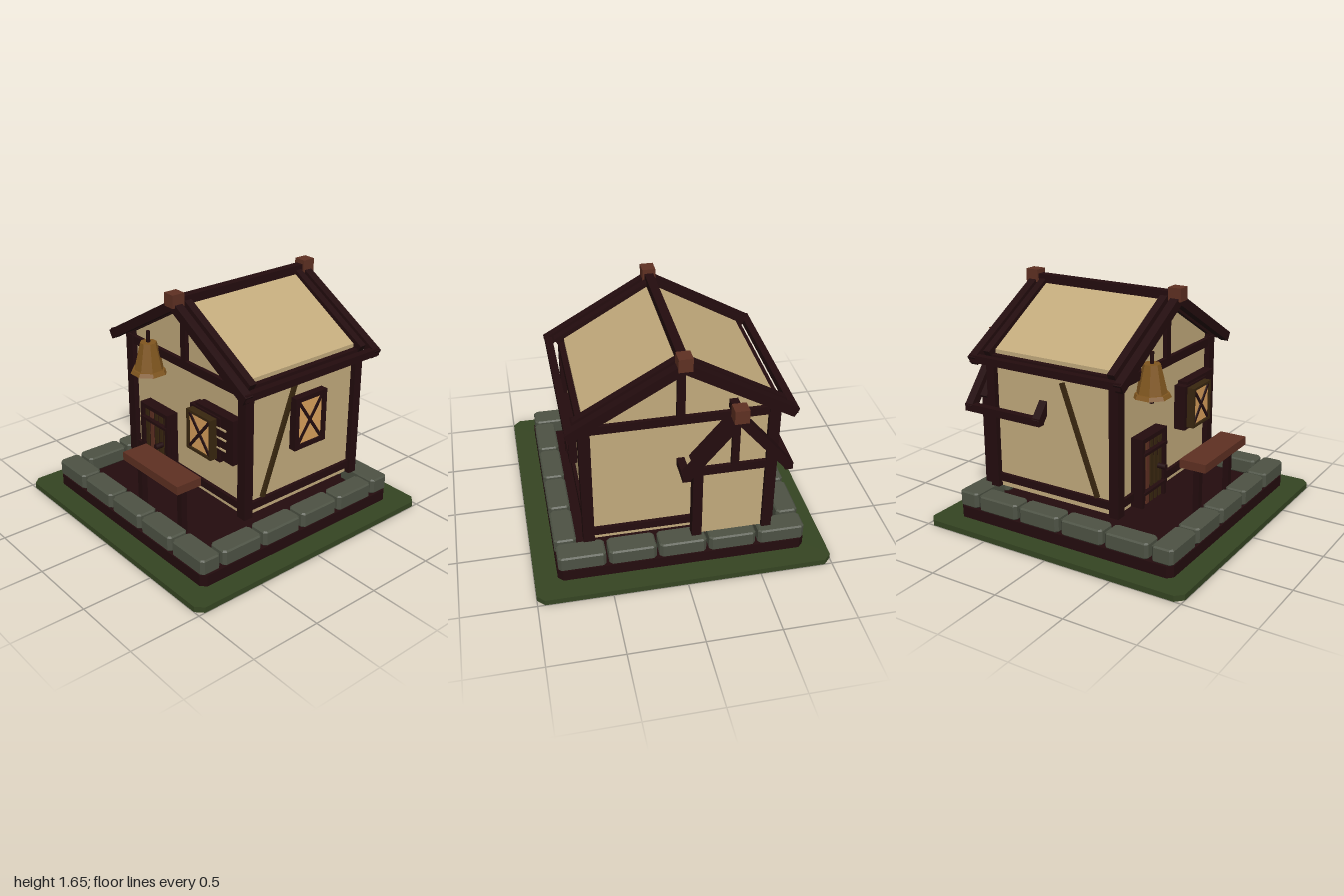
import * as THREE from 'three';

const mat = (name, color, opt = {}) => {
  const m = new THREE.MeshStandardMaterial({ color, ...opt });
  m.name = name;
  return m;
};

export function createModel() {
  const model = new THREE.Group();
  model.name = 'cottage';

  const dark = mat('dark timber', 0x230c0e);
  const red = mat('red wood', 0x5e3022);
  const plaster = mat('plaster', 0xc2aa7c);
  const stone = mat('stone', 0x4d5244);
  const grass = mat('grass', 0x354522);
  const olive = mat('brown plank', 0x38260f);
  const glow = mat('window pane', 0xd9a05c);
  const brass = mat('brass', 0x80561f, { flatShading: true });

  const group = (name, parent = model) => {
    const g = new THREE.Group();
    g.name = name;
    parent.add(g);
    return g;
  };
  const add = (parent, name, geo, m) => {
    const mesh = new THREE.Mesh(geo, m);
    mesh.name = name;
    parent.add(mesh);
    return mesh;
  };
  // Box given by its extents on each axis
  const box = (parent, name, m, x0, x1, y0, y1, z0, z1) => {
    const b = add(parent, name, new THREE.BoxGeometry(x1 - x0, y1 - y0, z1 - z0), m);
    b.position.set((x0 + x1) / 2, (y0 + y1) / 2, (z0 + z1) / 2);
    return b;
  };
  // Sloping beam between two points in the xy plane
  const beam = (parent, name, m, x0, y0, x1, y1, thick, z0, z1) => {
    const b = add(parent, name, new THREE.BoxGeometry(Math.hypot(x1 - x0, y1 - y0), thick, z1 - z0), m);
    b.position.set((x0 + x1) / 2, (y0 + y1) / 2, (z0 + z1) / 2);
    b.rotation.z = Math.atan2(y1 - y0, x1 - x0);
    return b;
  };
  const polygon = (pts) => new THREE.Shape(pts.map(([x, y]) => new THREE.Vector2(x, y)));
  // Rectangle with cut corners
  const cutRect = (w, d, c) => polygon([
    [-w + c, -d], [w - c, -d], [w, -d + c], [w, d - c],
    [w - c, d], [-w + c, d], [-w, d - c], [-w, -d + c],
  ]);
  const slab = (parent, name, m, w, d, c, y0, y1, bevel = 0) => {
    const geo = new THREE.ExtrudeGeometry(cutRect(w - bevel, d - bevel, c), {
      depth: y1 - y0 - 2 * bevel, bevelEnabled: bevel > 0,
      bevelSize: bevel, bevelThickness: bevel, bevelSegments: 1,
    });
    geo.rotateX(-Math.PI / 2);
    const s = add(parent, name, geo, m);
    s.position.y = y0 + bevel;
    return s;
  };

  // Ground and ring of stones
  slab(model, 'grass base', grass, 1, 1, 0.05, 0, 0.04);
  slab(model, 'soil', dark, 0.845, 0.845, 0.035, 0.04, 0.12);
  const ring = group('stone ring');
  for (const s of [-1, 1]) {
    for (let i = 0; i < 5; i++) {
      const st = slab(ring, 'stone', stone, 0.16, 0.077, 0.015, 0.12, 0.23, 0.01);
      st.position.x = (i - 2) * 0.339;
      st.position.z = s * 0.768;
    }
    for (let i = 0; i < 4; i++) {
      const st = slab(ring, 'stone', stone, 0.075, 0.16, 0.015, 0.12, 0.23, 0.01);
      st.position.x = s * 0.77;
      st.position.z = (i - 1.5) * 0.341;
    }
  }

  // Gabled plaster volume
  const gableBody = (parent, cx, half, eave, apex, z0, z1) => {
    const geo = new THREE.ExtrudeGeometry(polygon([
      [cx - half, 0.23], [cx + half, 0.23], [cx + half, eave], [cx, apex], [cx - half, eave],
    ]), { depth: z1 - z0, bevelEnabled: false });
    geo.translate(0, 0, z0);
    add(parent, 'plaster walls and roof', geo, plaster);
  };
  const rafterPair = (parent, cx, apex, run, slope, thick, z0, z1) => {
    for (const s of [-1, 1])
      beam(parent, 'rafter', dark, cx, apex, cx + s * run, apex - slope * run, thick, z0, z1);
  };

  // Main house
  const house = group('main house');
  gableBody(house, 0, 0.61, 1.218, 1.575, -0.68, 0.3);
  for (const [z0, z1] of [[0.36, 0.42], [-0.79, -0.73]]) rafterPair(house, 0, 1.567, 0.725, 0.577, 0.066, z0, z1);
  for (const [z0, z1] of [[0.275, 0.33], [-0.705, -0.655]]) {
    rafterPair(house, 0, 1.565, 0.66, 0.577, 0.07, z0, z1);
    box(house, 'tie beam', dark, -0.65, 0.65, 1.1, 1.16, z0, z1);
    box(house, 'king post', dark, -0.027, 0.027, 1.16, 1.52, z0, z1);
    box(house, 'sill', dark, -0.6, 0.6, 0.275, 0.33, z0, z1 - 0.005);
  }
  box(house, 'ridge beam', dark, -0.03, 0.03, 1.56, 1.62, -0.78, 0.42);
  for (const z of [0.39, -0.765]) box(house, 'ridge block', red, -0.045, 0.045, 1.56, 1.65, z - 0.048, z + 0.048);
  for (const s of [-1, 1]) {
    const side = (name, x0, x1, y0, y1, z0, z1) =>
      box(house, name, dark, Math.min(s * x0, s * x1), Math.max(s * x0, s * x1), y0, y1, z0, z1);
    side('corner post', 0.575, 0.65, 0.23, 1.17, 0.27, 0.34);
    side('corner post', 0.575, 0.65, 0.23, 1.17, -0.71, -0.645);
    side('wall plate', 0.58, 0.65, 1.13, 1.19, -0.7, 0.33);
    side('eave beam', 0.685, 0.735, 1.14, 1.19, -0.78, 0.41);
    side('side sill', 0.59, 0.635, 0.275, 0.33, -0.66, 0.3);
    // Leaning side brace
    const brace = add(house, 'side brace', new THREE.BoxGeometry(0.03, 0.79, 0.032), olive);
    brace.position.set(s * 0.615, 0.705, 0.025);
    brace.rotation.x = -Math.atan2(0.27, 0.75);
  }

  // Rear annex
  const annex = group('rear annex');
  const cx = -0.34;
  gableBody(annex, cx, 0.26, 0.865, 1.175, -0.765, -0.3);
  rafterPair(annex, cx, 1.2, 0.34, 1.2, 0.062, -0.87, -0.81);
  rafterPair(annex, cx, 1.18, 0.27, 1.2, 0.06, -0.79, -0.735);
  rafterPair(annex, cx, 1.2, 0.34, 1.2, 0.062, -0.3, -0.24);
  box(annex, 'ridge beam', dark, cx - 0.028, cx + 0.028, 1.18, 1.24, -0.86, -0.3);
  box(annex, 'ridge block', red, cx - 0.047, cx + 0.047, 1.19, 1.285, -0.89, -0.8);
  box(annex, 'tie beam', dark, cx - 0.27, cx + 0.27, 0.74, 0.8, -0.79, -0.74);
  box(annex, 'king post', dark, cx - 0.025, cx + 0.025, 0.79, 1.15, -0.79, -0.74);
  for (const s of [-1, 1]) {
    const px = cx + s * 0.24, ex = cx + s * 0.335;
    box(annex, 'post', dark, px - 0.033, px + 0.033, 0.23, 0.88, -0.79, -0.725);
    box(annex, 'eave beam', dark, ex - 0.026, ex + 0.026, 0.77, 0.822, -0.87, -0.24);
  }

  // Framed pane with crossed bars, facing +z and centred on its own origin
  const windowUnit = (parent, name, w, h, frameMat, border) => {
    const g = group(name, parent);
    box(g, 'pane', glow, -w + border, w - border, -h + border, h - border, 0, 0.02);
    for (const s of [-1, 1]) {
      box(g, 'frame upright', frameMat, s * (w - border / 2) - border / 2, s * (w - border / 2) + border / 2, -h, h, -0.02, 0.035);
      box(g, 'frame rail', frameMat, -w, w, s * (h - border / 2) - border / 2, s * (h - border / 2) + border / 2, -0.02, 0.034);
      beam(g, 'cross bar', dark, -w + border, -s * (h - border), w - border, s * (h - border), 0.02, 0.015, 0.029);
    }
    return g;
  };
  // Side window
  const sideWindow = windowUnit(model, 'side window', 0.14, 0.19, dark, 0.033);
  sideWindow.position.set(0.645, 0.81, -0.21);
  sideWindow.rotation.y = Math.PI / 2;
  // Front window with slatted shutter
  const front = group('front window');
  box(front, 'backing', dark, 0.14, 0.45, 0.6, 0.92, 0.29, 0.385);
  box(front, 'shutter', dark, 0.19, 0.57, 0.62, 0.94, 0.29, 0.375);
  windowUnit(front, 'casement', 0.125, 0.145, olive, 0.018).position.set(0.295, 0.762, 0.405);
  for (const y of [0.705, 0.78, 0.85]) box(front, 'shutter slit', plaster, 0.41, 0.51, y - 0.006, y + 0.006, 0.38, 0.388);

  // Door
  const door = group('door');
  box(door, 'door panel', dark, -0.43, -0.115, 0.23, 0.72, 0.29, 0.36);
  for (const x of [-0.42, -0.135]) box(door, 'door jamb', dark, x - 0.012, x + 0.018, 0.23, 0.72, 0.3, 0.39);
  box(door, 'lintel', dark, -0.43, -0.115, 0.69, 0.72, 0.3, 0.39);
  for (let i = 0; i < 5; i++) {
    const x = -0.382 + i * 0.0535;
    box(door, 'plank', i === 1 ? red : olive, x - 0.017, x + 0.017, 0.23, 0.69, 0.33, 0.37);
  }
  for (const y of [0.33, 0.61]) box(door, 'strap', dark, -0.42, -0.125, y - 0.01, y + 0.01, 0.35, 0.4);
  const knob = add(door, 'door ring', new THREE.CylinderGeometry(0.02, 0.02, 0.06, 8), dark);
  knob.rotation.x = Math.PI / 2;
  knob.position.set(-0.2, 0.46, 0.405);

  // Hanging bell lamp
  const bell = group('bell lamp');
  bell.position.set(-0.315, 0, 0.385);
  const cone = (name, m, r1, r0, y0, y1, n = 8) => {
    const c = add(bell, name, new THREE.CylinderGeometry(r1, r0, y1 - y0, n), m);
    c.position.y = (y0 + y1) / 2;
    c.rotation.y = Math.PI / 8;
  };
  cone('bell body', brass, 0.058, 0.105, 1.015, 1.21);
  cone('bell rim', brass, 0.118, 0.132, 0.99, 1.017);
  cone('hanger', dark, 0.014, 0.014, 0.94, 1.29, 6);

  // Bench
  const bench = group('bench');
  box(bench, 'seat', red, -0.18, 0.43, 0.47, 0.53, 0.525, 0.72);
  for (const x of [-0.098, 0.348]) box(bench, 'bench leg', dark, x - 0.024, x + 0.024, 0.12, 0.47, 0.6, 0.645);

  return model;
}
